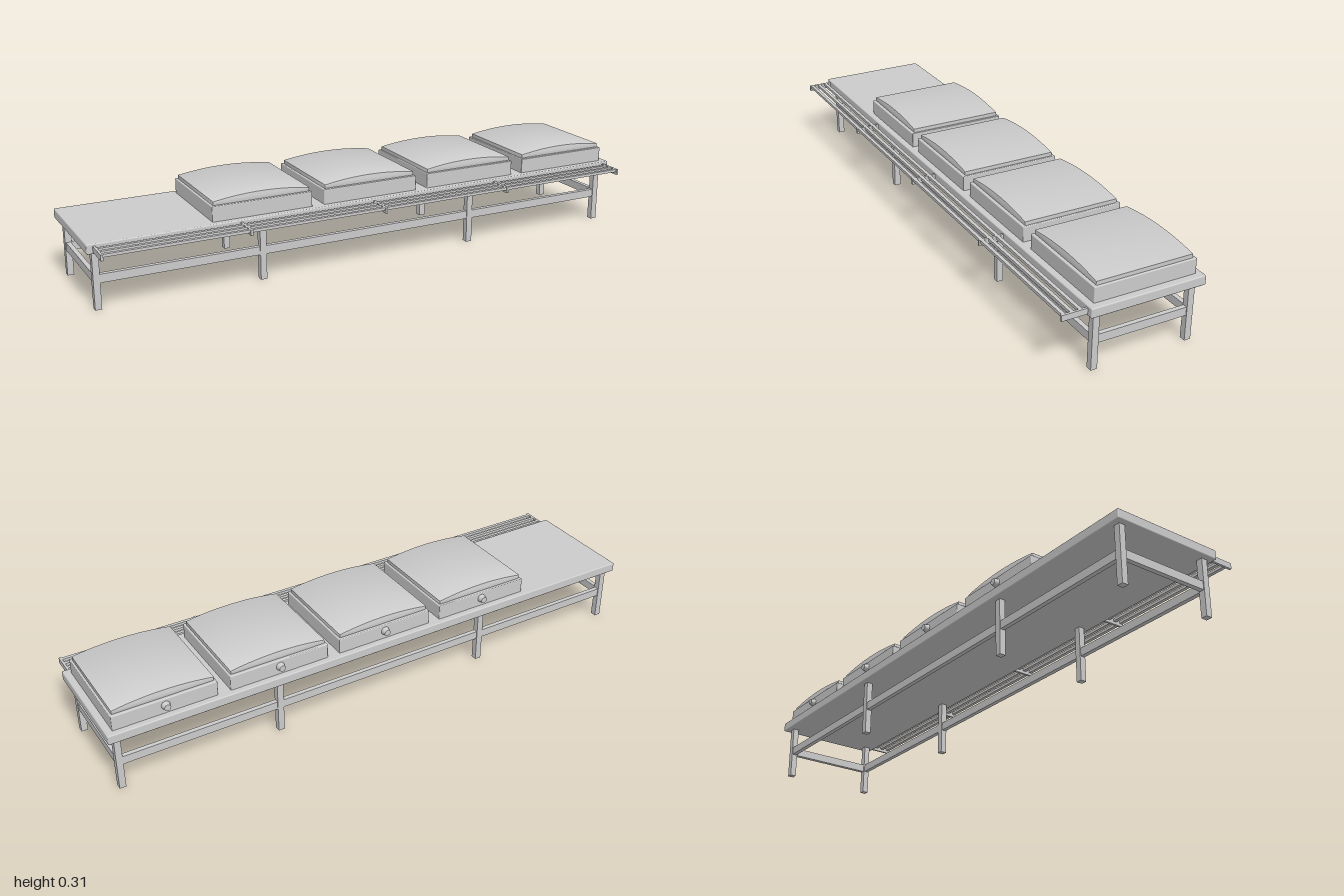
import * as THREE from 'three';
import { RoundedBoxGeometry } from 'three/addons/geometries/RoundedBoxGeometry.js';
import { toCreasedNormals } from 'three/addons/utils/BufferGeometryUtils.js';

const material = new THREE.MeshStandardMaterial({ color: 0xcccccc });

function add(parent, name, geometry, x = 0, y = 0, z = 0) {
  const mesh = new THREE.Mesh(geometry, material);
  mesh.name = name;
  mesh.position.set(x, y, z);
  parent.add(mesh);
  return mesh;
}

// Box given by its minimum and maximum on each axis
function box(parent, name, [x0, x1], [y0, y1], [z0, z1], radius = 0) {
  const size = [x1 - x0, y1 - y0, z1 - z0];
  const geometry = radius
    ? new RoundedBoxGeometry(...size, 2, radius)
    : new THREE.BoxGeometry(...size);
  return add(parent, name, geometry, (x0 + x1) / 2, (y0 + y1) / 2, (z0 + z1) / 2);
}

// Lid with a shallow arched top, extruded from front to back
function lidGeometry(width, depth, edgeHeight, rise) {
  const bevel = 0.003;
  const w = width / 2 - bevel;
  const shape = new THREE.Shape();
  shape.moveTo(-w, bevel);
  shape.lineTo(w, bevel);
  shape.lineTo(w, edgeHeight - bevel);
  const steps = 20;
  for (let i = 1; i <= steps; i++) {
    const t = 1 - (2 * i) / steps;
    shape.lineTo(w * t, edgeHeight - bevel + rise * (1 - t * t));
  }
  shape.closePath();
  const geometry = new THREE.ExtrudeGeometry(shape, {
    depth: depth - 2 * bevel, bevelEnabled: true,
    bevelSize: bevel, bevelThickness: bevel, bevelSegments: 2,
  });
  geometry.translate(0, 0, bevel - depth / 2);
  return toCreasedNormals(geometry, 0.5);
}

function createDish() {
  const dish = new THREE.Group();
  dish.name = 'warmingDish';
  box(dish, 'dishBase', [-0.178, 0.178], [0.226, 0.281], [-0.222, 0.135], 0.003);
  box(dish, 'dishPan', [-0.168, 0.168], [0.278, 0.29], [-0.211, 0.124]);
  add(dish, 'dishLid', lidGeometry(0.342, 0.338, 0.014, 0.014), 0, 0.281, -0.043);
  // Control knob on the back
  const knob = add(dish, 'knob', new THREE.CylinderGeometry(0.015, 0.011, 0.017, 20), 0, 0.258, -0.2305);
  knob.rotation.x = Math.PI / 2;
  return dish;
}

export function createModel() {
  const model = new THREE.Group();
  model.name = 'buffetTable';

  box(model, 'tableTop', [-1, 1], [0.196, 0.229], [-0.243, 0.157], 0.004);

  // Legs in four pairs
  const legSpans = [[-0.98, -0.958], [-0.416, -0.394], [0.39, 0.412], [0.955, 0.977]];
  const rows = { front: [0.113, 0.135], back: [-0.222, -0.2] };
  for (const [side, z] of Object.entries(rows)) {
    for (const x of legSpans) box(model, side + 'Leg', x, [0, 0.198], z);
    box(model, side + 'Stretcher', [-0.96, 0.96], [0.088, 0.117], [z[0] + 0.003, z[1] - 0.003]);
  }
  for (const x of [-0.969, 0.966]) {
    box(model, 'endStretcher', [x - 0.008, x + 0.008], [0.088, 0.117], [-0.2, 0.113]);
  }

  // Tray slide along the front
  const slide = new THREE.Group();
  slide.name = 'traySlide';
  for (const x of [-0.976, -0.488, 0, 0.488, 0.976]) {
    box(slide, 'slideBracket', [x - 0.004, x + 0.004], [0.202, 0.222], [0.15, 0.244]);
  }
  for (const z of [0.178, 0.206, 0.234]) {
    box(slide, 'slideRail', [-0.98, 0.98], [0.212, 0.222], [z - 0.006, z + 0.006]);
  }
  model.add(slide);

  // Row of warming dishes
  for (const x of [-0.4, 0, 0.4, 0.8]) {
    const dish = createDish();
    dish.position.x = x - 0.002;
    model.add(dish);
  }
  return model;
}
